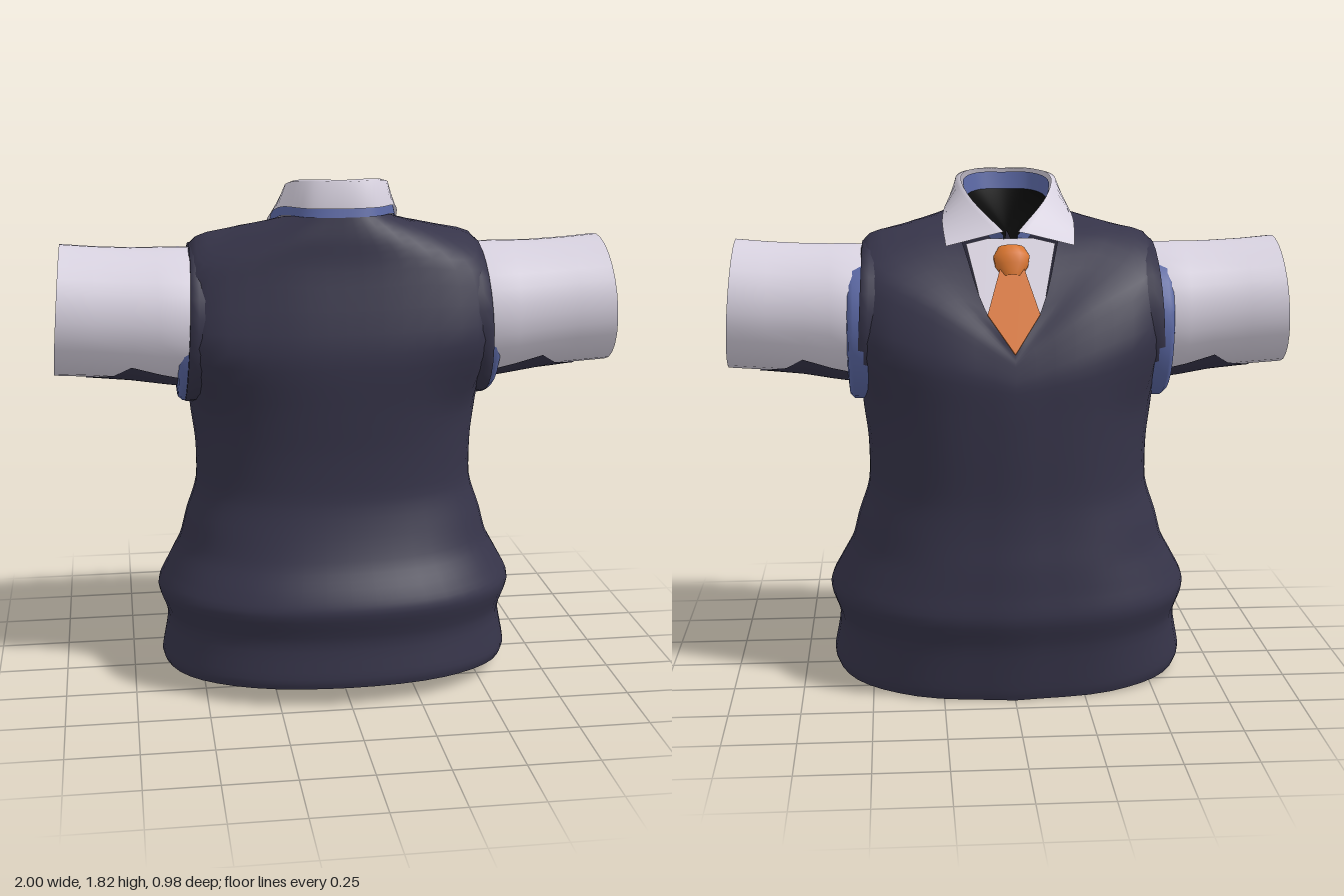
import * as THREE from 'three';
import { mergeVertices } from 'three/addons/utils/BufferGeometryUtils.js';

const mat = (name, color) =>
  Object.assign(new THREE.MeshStandardMaterial({ color, side: THREE.DoubleSide }), { name });
const V = (x, y, z) => new THREE.Vector3(x, y, z);

// Smooth grid surface through rows of points
function surface(rows) {
  const pos = [], idx = [], n = rows[0].length;
  rows.forEach(r => r.forEach(p => pos.push(p.x, p.y, p.z)));
  for (let r = 0; r < rows.length - 1; r++)
    for (let c = 0; c < n - 1; c++) {
      const a = r * n + c, b = a + 1, d = a + n, e = d + 1;
      idx.push(a, b, e, a, e, d);
    }
  let g = new THREE.BufferGeometry();
  g.setAttribute('position', new THREE.Float32BufferAttribute(pos, 3));
  g.setIndex(idx);
  g = mergeVertices(g, 1e-4);
  g.computeVertexNormals();
  return g;
}

// Half outline (centre of +z side round to centre of -z side) mirrored to a full row
function fullRow(half) {
  const mirrored = half.slice(1).reverse().map(([x, y, z]) => V(-x, y, z));
  return new THREE.CatmullRomCurve3([...mirrored, ...half.map(p => V(...p))]).getPoints(48);
}

// Smooth the rows vertically
function refine(rows, steps) {
  const cols = rows[0].map((_, c) =>
    new THREE.CatmullRomCurve3(rows.map(r => r[c]), false, 'catmullrom', 0.4).getPoints(steps));
  return cols[0].map((_, r) => cols.map(col => col[r]));
}

// Lower torso outline: superellipse with separate depths
function torsoRing([y, w, zp, zm, tilt]) {
  const half = [];
  for (let i = 0; i <= 6; i++) {
    const a = i * Math.PI / 6, c = Math.cos(a), e = 2 / 2.25;
    const z = Math.pow(Math.abs(c), e) * (c > 0 ? zp : -zm);
    half.push([w * Math.pow(Math.max(0, Math.sin(a)), e), y + z * tilt, z]);
  }
  half[6][0] = 0;
  return half;
}

// Elliptical tube rows along x: [x, centreY, centreZ, radiusY, radiusZ, slant, halfAngle]
function armTube(rings, s) {
  return surface(rings.map(([x, cy, cz, ry, rz, slant = 0, span = Math.PI]) => {
    const row = [];
    for (let i = 0; i <= 28; i++) {
      const a = Math.PI + s * span * (i / 14 - 1);
      row.push(V(s * (x - slant * Math.cos(a)), cy + ry * Math.cos(a), cz + rz * Math.sin(a)));
    }
    return row;
  }));
}

export function createModel() {
  const model = new THREE.Group();
  const vest = mat('navy knit', 0x363449);
  const shirt = mat('pale shirt', 0xd8d2e0);
  const trim = mat('blue trim', 0x5a67a3);
  const tie = mat('orange tie', 0xd9752f);
  const dark = mat('dark inside', 0x050505);
  const add = (name, geo, material, parent = model) => {
    const m = new THREE.Mesh(geo, material);
    m.name = name;
    parent.add(m);
    return m;
  };

  // Vest: hem, folds and waist, then chest, shoulders and V neck
  const lower = [
    [0.04, 0.635, 0.475, 0.43, 0.077], [0.08, 0.645, 0.48, 0.44, 0.07],
    [0.22, 0.622, 0.463, 0.46, 0.04], [0.33, 0.655, 0.49, 0.49, 0.04],
    [0.41, 0.62, 0.465, 0.48, 0.01], [0.5, 0.572, 0.41, 0.47, 0],
    [0.6, 0.545, 0.368, 0.455, 0], [0.72, 0.507, 0.335, 0.445, 0],
    [0.88, 0.507, 0.332, 0.447, 0], [1.03, 0.525, 0.342, 0.447, 0],
  ].map(torsoRing);
  const upper = [
    [[0, 1.25, .35], [.26, 1.25, .335], [.515, 1.27, .262], [.535, 1.3, 0],
      [.515, 1.27, -.268], [.27, 1.2, -.4], [0, 1.13, -.44]],
    [[0, 1.52, .285], [.26, 1.53, .268], [.5, 1.51, .195], [.515, 1.59, 0],
      [.5, 1.5, -.2], [.27, 1.38, -.335], [0, 1.2, -.422]],
    [[0, 1.63, .267], [.19, 1.63, .25], [.35, 1.63, .15], [.37, 1.645, 0],
      [.33, 1.59, -.14], [.18, 1.42, -.3], [0, 1.225, -.413]],
    [[0, 1.71, .25], [.1, 1.71, .23], [.18, 1.7, .14], [.2, 1.675, .02],
      [.165, 1.59, -.155], [.095, 1.38, -.325], [0, 1.25, -.405]],
  ];
  const torso = [...lower, ...upper].map(fullRow);
  add('vest', surface(refine(torso, 52)), vest);

  // Closed dark underside
  const centre = torso[0].map(() => V(0, 0.042, 0));
  add('vestUnderside', surface([centre, torso[0].map(p => V(p.x * .99, p.y + .002, p.z * .99))]), dark);

  // Collar with a thin blue band below and lining inside
  const top = [[0, 1.83, .225], [.1, 1.83, .195], [.16, 1.81, .08], [.135, 1.745, -.05], [.025, 1.635, -.185]];
  const bottom = [[0, 1.735, .255], [.12, 1.735, .232], [.2, 1.727, .11], [.232, 1.672, -.03], [.225, 1.585, -.17]];
  const crest = top.map(([x, y, z], i) => [x * 1.12 + (i > 3 ? .02 : 0), y - .004, z * 1.08 + .008]);
  const moved = (half, k, dy) => half.map(([x, y, z]) => [x * k, y + dy, z * k]);
  add('collar', surface([bottom, crest, top].map(fullRow)), shirt);
  const bandEdge = bottom.slice(0, 4);
  add('collarBand', surface([moved(bandEdge, .99, -.03), moved(bandEdge, .94, .02)].map(fullRow)), trim);
  const liningLow = fullRow(moved(top, .9, -.075));
  add('collarLining', surface([liningLow, fullRow(moved(top, .955, -.014))]), trim);
  add('neckInside', surface([liningLow.map(() => V(0, 1.62, .03)), liningLow]), dark);

  // Shirt front and tie, on the slope of the V neck
  const front = new THREE.Group();
  front.name = 'neckFront';
  front.position.set(0, 1.25, -.405);
  front.rotation.set(.541, Math.PI, 0);
  model.add(front);
  const plate = (half, depth) => {
    const pts = [...half, ...half.slice().reverse().map(([x, y]) => [-x, y])];
    return new THREE.ExtrudeGeometry(
      new THREE.Shape(pts.map(p => new THREE.Vector2(...p))), { depth, bevelEnabled: false });
  };
  add('shirtFront', plate([[.01, 0], [.1, .14], [.155, .41], [.08, .43]], .008), shirt, front).position.z = -.022;
  add('tieBlade', plate([[.002, -.008], [.09, .135], [.035, .33]], .012), tie, front).position.z = -.005;
  const knotProfile = [[.032, -.06], [.058, -.02], [.064, .015], [.045, .05], [0, .055]];
  const knot = add('tieKnot', new THREE.LatheGeometry(
    knotProfile.map(p => new THREE.Vector2(...p)), 14), tie, front);
  knot.position.set(0, .34, -.005);
  knot.scale.z = .6;

  // Sleeves and armholes
  for (const s of [1, -1]) {
    const arm = new THREE.Group();
    arm.name = s > 0 ? 'leftArm' : 'rightArm';
    model.add(arm);
    add('sleeve', armTube([
      [.46, 1.335, .005, .24, .245], [.55, 1.335, .005, .245, .257], [.63, 1.34, .005, .24, .252],
      [.72, 1.348, .01, .233, .24], [.85, 1.358, .01, .23, .235], [.982, 1.368, .012, .23, .238, .018],
    ], s), shirt, arm);
    // Knitted edge of the armhole, and the blue trim inside it
    add('armholeEdge', armTube([
      [.4, 1.305, -.005, .282, .276], [.5, 1.31, -.005, .285, .282, .012],
      [.53, 1.31, -.005, .282, .28, .014], [.53, 1.305, -.008, .262, .26, .014],
    ], s), vest, arm);
    add('armholeTrim', armTube([
      [.5, 1.295, -.018, .268, .264], [.55, 1.293, -.018, .267, .263],
      [.567, 1.297, -.016, .255, .252], [.572, 1.32, -.005, .235, .24],
    ], s), trim, arm);
    // Dark patch beneath the sleeve
    add('sleeveUnderside', armTube([
      [.56, 1.335, .005, .249, .261, 0, .7], [.63, 1.34, .005, .244, .256, 0, .75],
      [.73, 1.349, .01, .237, .243, 0, .85], [.79, 1.353, .01, .235, .241, 0, .55],
      [.89, 1.361, .01, .234, .24, 0, .25],
    ], s), vest, arm);
    // Cuff lining, shaded deeper in, and the closed end
    const deep = [.84, 1.362, .03, .214, .205], mid = [.9, 1.365, .022, .22, .218];
    add('cuffLining', armTube([mid, [.978, 1.368, .012, .228, .236, .018]], s), shirt, arm);
    add('sleeveLining', armTube([deep, mid], s), vest, arm);
    add('sleeveInside', armTube([deep, [.841, 1.362, .03, 0, 0]], s), dark, arm);
  }
  return model;
}
